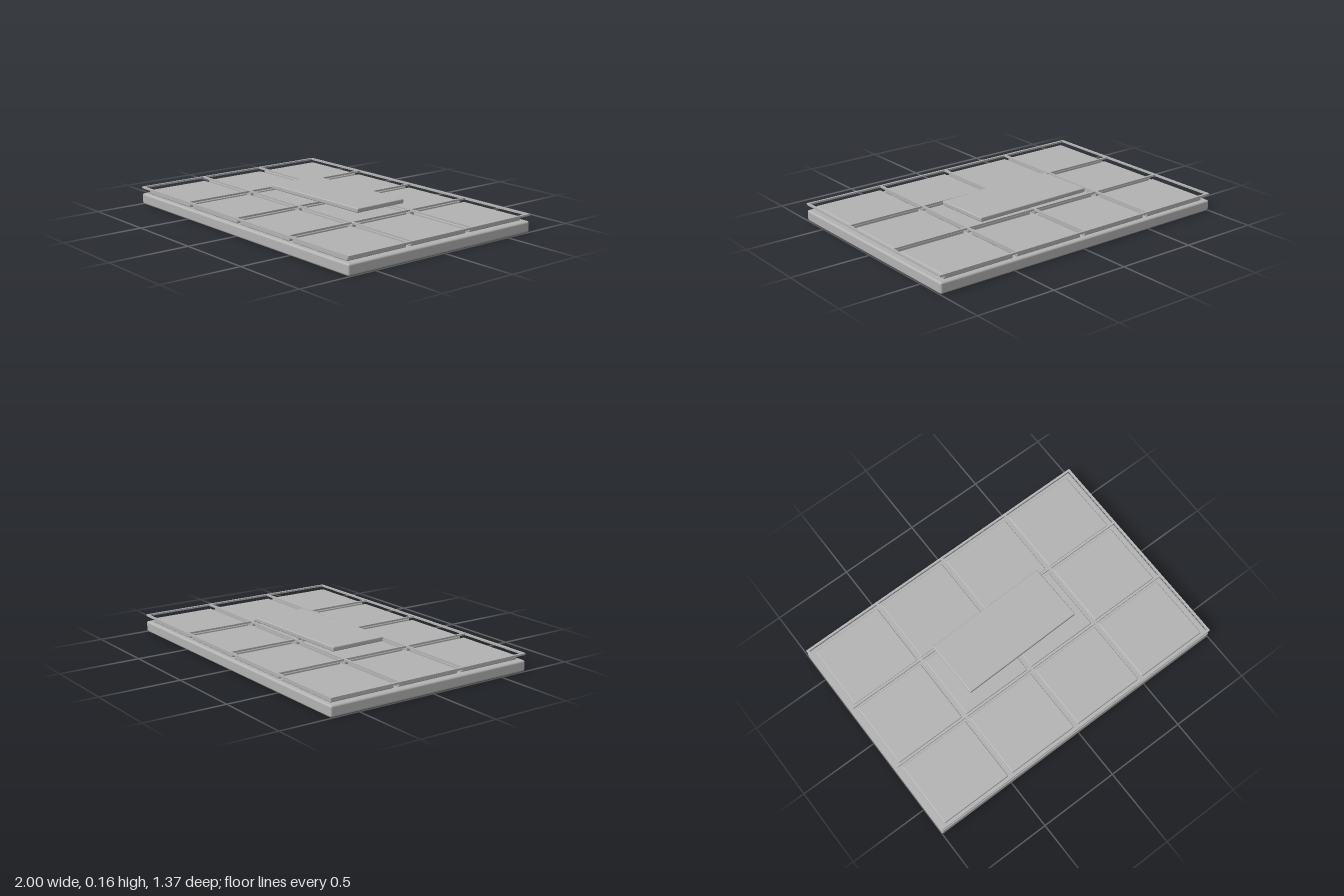
import * as THREE from 'three';
import { RoundedBoxGeometry } from 'three/addons/geometries/RoundedBoxGeometry.js';

export function createModel() {
  const model = new THREE.Group();
  model.name = 'panelBoard';

  const grey = new THREE.MeshStandardMaterial({ color: 0xb4b4b4 });
  grey.name = 'plain grey';

  function add(name, geometry, x, y, z, parent = model) {
    const mesh = new THREE.Mesh(geometry, grey);
    mesh.name = name;
    mesh.position.set(x, y, z);
    parent.add(mesh);
    return mesh;
  }

  function addGroup(name) {
    const group = new THREE.Group();
    group.name = name;
    model.add(group);
    return group;
  }

  // Thick base slab with softened edges
  add('base', new RoundedBoxGeometry(2, 0.068, 1.366, 3, 0.012), 0, 0.034, 0);

  // Four by three raised tiles
  const pitchX = 0.486, pitchZ = 0.446, centreX = -0.002;
  const tiles = addGroup('tiles');
  const tileGeometry = new RoundedBoxGeometry(0.457, 0.024, 0.416, 2, 0.006);
  for (let col = 0; col < 4; col++) {
    for (let row = 0; row < 3; row++) {
      add('tile', tileGeometry, centreX + (col - 1.5) * pitchX, 0.079, (row - 1) * pitchZ, tiles);
    }
  }

  // Thin floating grid: outer frame bars and dividers over the tile gaps
  const grid = addGroup('grid');
  const bar = 0.014, thick = 0.011, gridY = 0.105;
  const longBar = new THREE.BoxGeometry(2, thick, bar);
  const crossBar = new THREE.BoxGeometry(bar, thick, 1.364);
  for (const z of [-0.675, -pitchZ / 2, pitchZ / 2, 0.675]) {
    add('longBar', longBar, 0, gridY, z, grid);
  }
  for (const x of [-0.993, centreX - pitchX, centreX, centreX + pitchX, 0.993]) {
    add('crossBar', crossBar, x, gridY, 0, grid);
  }

  // Slightly turned plaque hovering over the middle
  const plaque = add('plaque', new RoundedBoxGeometry(0.797, 0.028, 0.364, 2, 0.006), 0.01, 0.141, -0.056);
  plaque.rotation.y = 0.02;

  return model;
}
